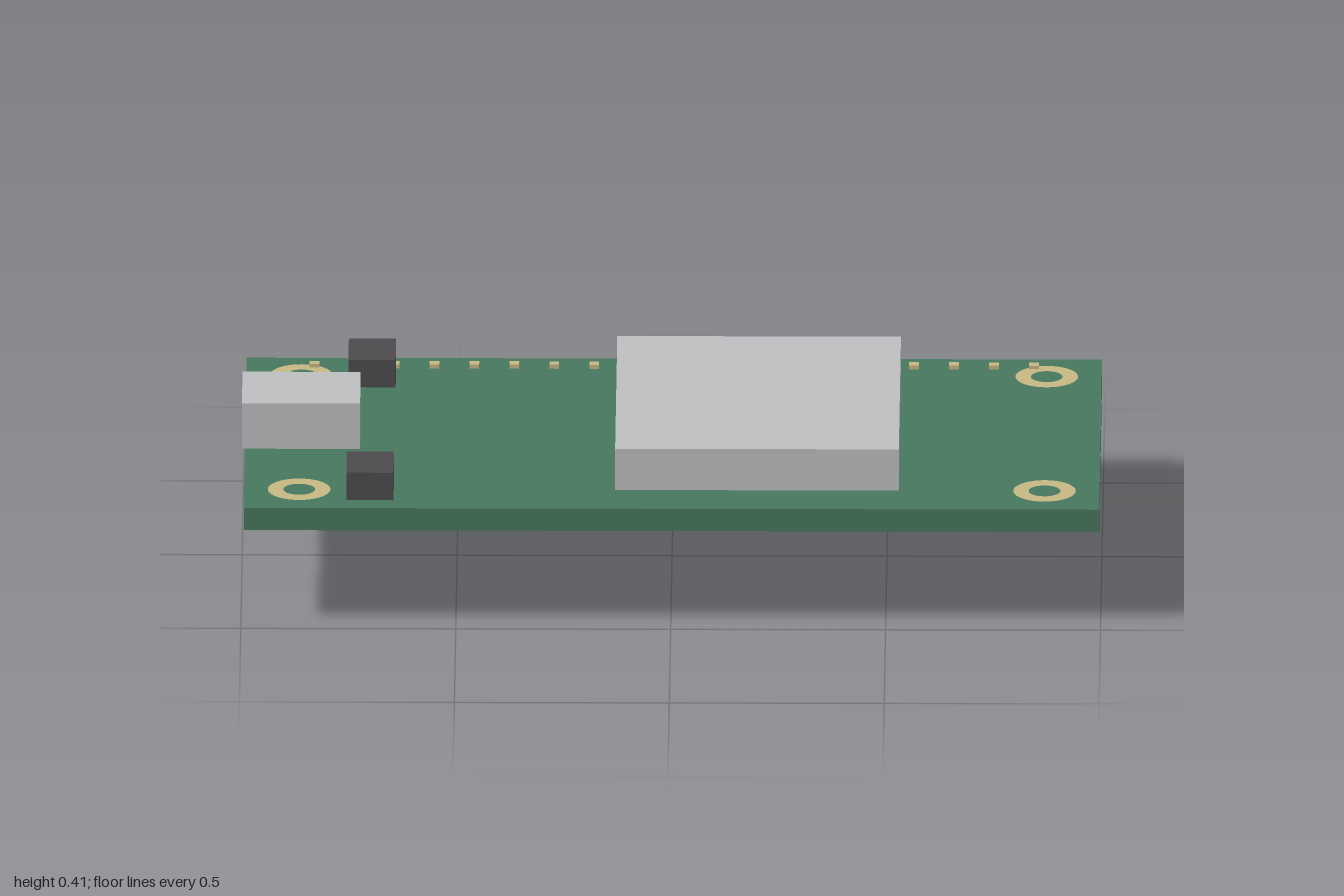
import * as THREE from 'three';

const material = (name, color, extra = {}) => {
  const m = new THREE.MeshStandardMaterial({ color, ...extra });
  m.name = name;
  return m;
};

export function createModel() {
  const green = material('board green', 0x48785e);
  const metal = material('shield grey', 0xbfc0c2);
  const dark = material('dark plastic', 0x4d4b4e);
  const gold = material('pale gold', 0xc8b884);

  const model = new THREE.Group();
  model.name = 'circuitBoard';

  // Box given by its lower and upper corners
  const box = (name, mat, [x0, y0, z0], [x1, y1, z1], parent = model) => {
    const mesh = new THREE.Mesh(new THREE.BoxGeometry(x1 - x0, y1 - y0, z1 - z0), mat);
    mesh.position.set((x0 + x1) / 2, (y0 + y1) / 2, (z0 + z1) / 2);
    mesh.name = name;
    parent.add(mesh);
    return mesh;
  };

  const bottom = 0.247, top = 0.302;

  // Board and the large parts on it
  box('board', green, [-0.993, bottom, -0.51], [0.997, top, 0.51]);
  box('shieldCan', metal, [-0.13, top, -0.383], [0.53, 0.404, 0.383]);
  box('usbSocket', metal, [-1, top, -0.108], [-0.725, 0.414, 0.108]);

  // Push buttons on both sides of the socket
  box('frontButton', dark, [-0.755, top, 0.311], [-0.645, 0.37, 0.456]);
  box('backButton', dark, [-0.755, top, -0.456], [-0.645, 0.37, -0.311]);

  // Plated rings in the corners
  const ringShape = new THREE.RingGeometry(0.037, 0.073, 32).rotateX(-Math.PI / 2);
  for (const x of [-0.865, 0.869]) {
    for (const z of [-0.388, 0.388]) {
      const ring = new THREE.Mesh(ringShape, gold);
      ring.position.set(x, top + 0.002, z);
      ring.name = 'mountingRing';
      model.add(ring);
    }
  }

  // Pin header below the back edge, pins reaching through the board
  const header = new THREE.Group();
  header.name = 'pinHeader';
  model.add(header);
  box('headerStrip', dark, [-0.881, 0.154, -0.498], [0.885, bottom, -0.403], header);
  const count = 19, pitch = 0.093, half = 0.0115;
  for (let i = 0; i < count; i++) {
    const x = 0.002 + (i - (count - 1) / 2) * pitch;
    box('pin', gold, [x - half, 0, -0.451 - half], [x + half, 0.312, -0.451 + half], header);
  }

  return model;
}
